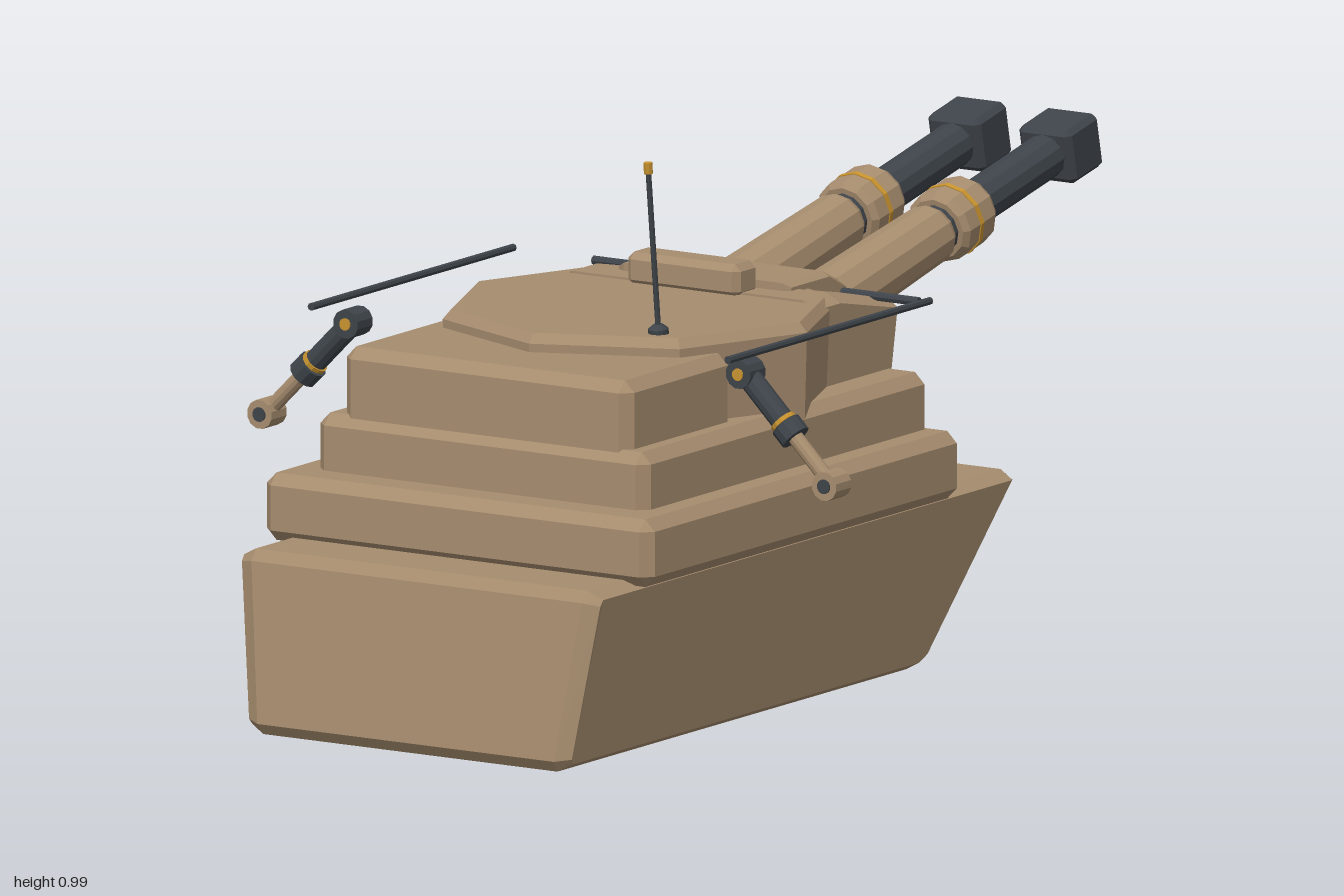
import * as THREE from 'three';
import { ConvexGeometry } from 'three/addons/geometries/ConvexGeometry.js';

const mat = (name, color) => {
  const m = new THREE.MeshStandardMaterial({ color });
  m.name = name;
  return m;
};

export function createModel() {
  const model = new THREE.Group();
  model.name = 'twinGunTank';
  const tan = mat('tan', 0xa68c6e);
  const dark = mat('gunmetal', 0x3e444a);
  const gold = mat('gold', 0xc8932f);

  const add = (parent, name, geo, material, x = 0, y = 0, z = 0) => {
    const m = new THREE.Mesh(geo, material);
    m.name = name;
    m.position.set(x, y, z);
    parent.add(m);
    return m;
  };
  const flat = (geo) => {
    const g = geo.index ? geo.toNonIndexed() : geo;
    g.computeVertexNormals();
    return g;
  };
  // Faceted turned part along y from [radius, height] pairs
  const turned = (pts, sides = 12) =>
    flat(new THREE.LatheGeometry(pts.map(([r, y]) => new THREE.Vector2(r, y)), sides));
  const rod = (r, y0, y1, sides = 12) => turned([[0, y0], [r, y0], [r, y1], [0, y1]], sides);
  // Box with all edges chamfered
  const chamferBox = (w, h, d, b) => {
    const pts = [];
    for (const sx of [-1, 1]) for (const sy of [-1, 1]) for (const sz of [-1, 1]) {
      const X = w / 2, Y = h / 2, Z = d / 2;
      pts.push(new THREE.Vector3(sx * X, sy * (Y - b), sz * (Z - b)));
      pts.push(new THREE.Vector3(sx * (X - b), sy * Y, sz * (Z - b)));
      pts.push(new THREE.Vector3(sx * (X - b), sy * (Y - b), sz * Z));
    }
    return new ConvexGeometry(pts);
  };
  // Side profile of [z, y] points extruded across x with a bevel
  const sideProfile = (pts, width, size, thick) => {
    const shape = new THREE.Shape(pts.map(([z, y]) => new THREE.Vector2(z, y)));
    const g = new THREE.ExtrudeGeometry(shape, {
      depth: width - 2 * thick, bevelEnabled: true, bevelSegments: 1,
      bevelSize: size, bevelOffset: -size, bevelThickness: thick,
    });
    g.translate(0, 0, -(width - 2 * thick) / 2);
    g.rotateY(-Math.PI / 2);
    return g;
  };

  // Lower hull, narrowing toward the floor
  const hull = sideProfile(
    [[-0.12, 0], [0.985, 0], [1, 0.02], [0.965, 0.3], [0.95, 0.32], [-0.36, 0.32], [-0.37, 0.305], [-0.15, 0.015]],
    0.75, 0.015, 0.03);
  const p = hull.attributes.position;
  for (let i = 0; i < p.count; i++) p.setX(i, p.getX(i) * (0.89 + 0.11 * Math.min(1, p.getY(i) / 0.3)));
  add(model, 'lowerHull', flat(hull), tan);

  // Stepped upper decks
  add(model, 'hullDeck', chamferBox(0.81, 0.12, 0.995, 0.02), tan, 0, 0.37, 0.347);
  add(model, 'upperDeck', chamferBox(0.69, 0.13, 0.905, 0.02), tan, 0, 0.465, 0.313);
  add(model, 'frontBlock', chamferBox(0.6, 0.15, 0.335, 0.02), tan, 0, 0.575, 0.583);

  // Turret
  const turret = new THREE.Group();
  turret.name = 'turret';
  model.add(turret);
  add(turret, 'turretBody',
    turned([[0, 0.5], [0.345, 0.5], [0.35, 0.665], [0.335, 0.682], [0, 0.682]], 8), tan, 0, 0, 0.26);
  add(turret, 'turretRear', flat(sideProfile(
    [[-0.13, 0.45], [0.11, 0.45], [0.11, 0.686], [0.03, 0.686], [-0.165, 0.645]], 0.54, 0.015, 0.03)), tan);
  add(turret, 'gunMantlet', flat(sideProfile(
    [[-0.13, 0.52], [0.06, 0.52], [0.06, 0.7], [-0.07, 0.7], [-0.13, 0.67]], 0.36, 0.008, 0.015)), tan);

  // Sight housing with lamps facing the guns
  add(turret, 'sightHousing', chamferBox(0.235, 0.06, 0.07, 0.012), tan, 0, 0.706, 0.094);
  add(turret, 'sightPanel', new THREE.BoxGeometry(0.17, 0.034, 0.006), dark, 0, 0.709, 0.058);
  for (const s of [-1, 1])
    add(turret, 'sightLamp', new THREE.BoxGeometry(0.062, 0.02, 0.006), gold, s * 0.042, 0.709, 0.055);

  // Twin guns
  for (const s of [-1, 1]) {
    const gun = new THREE.Group();
    gun.name = s > 0 ? 'leftGun' : 'rightGun';
    gun.position.set(s * 0.095, 0.612, -0.17);
    gun.rotation.x = -THREE.MathUtils.degToRad(78);
    turret.add(gun);
    add(gun, 'baseCollar', turned([[0, -0.07], [0.062, -0.07], [0.07, -0.055], [0.07, 0], [0.06, 0.015], [0, 0.015]]), tan);
    add(gun, 'sleeve', turned([[0, 0], [0.06, 0], [0.054, 0.35], [0.048, 0.362], [0, 0.362]]), tan);
    add(gun, 'neck', rod(0.045, 0.35, 0.39), dark);
    add(gun, 'barrelCollar',
      turned([[0, 0.375], [0.055, 0.375], [0.065, 0.385], [0.065, 0.465], [0.055, 0.48], [0, 0.48]]), tan);
    add(gun, 'goldBand', rod(0.067, 0.416, 0.426), gold);
    add(gun, 'barrel', rod(0.04, 0.47, 0.74), dark);
    add(gun, 'muzzleBlock', chamferBox(0.11, 0.1, 0.1, 0.01), dark, 0, 0.776, 0);
    add(gun, 'muzzleCap', turned([[0, 0.82], [0.032, 0.82], [0.032, 0.835], [0.026, 0.842], [0, 0.842]]), dark);
  }

  // Antenna
  const antenna = new THREE.Group();
  antenna.name = 'antenna';
  antenna.position.set(0.185, 0.685, 0.48);
  antenna.rotation.x = 0.11;
  turret.add(antenna);
  add(antenna, 'antennaBase', turned([[0, -0.005], [0.018, -0.005], [0.018, 0.006], [0.008, 0.014], [0, 0.014]]), dark);
  add(antenna, 'antennaWhip', rod(0.005, 0, 0.295, 8), dark);
  add(antenna, 'antennaTip', rod(0.008, 0.288, 0.308, 8), gold);

  // Rails
  for (const s of [-1, 1])
    add(model, 'sideRail', rod(0.007, -0.32, 0.32, 8), dark, s * 0.435, 0.688, 0.32).rotation.x = Math.PI / 2;
  add(model, 'rearRail', rod(0.008, -0.34, 0.34, 8), dark, 0, 0.658, -0.11).rotation.z = Math.PI / 2;

  // Side struts, running outward and down
  for (const s of [-1, 1]) {
    const strut = new THREE.Group();
    strut.name = s > 0 ? 'leftStrut' : 'rightStrut';
    strut.position.set(s * 0.41, 0.648, 0.545);
    strut.rotation.z = s * -Math.PI * 0.75;
    model.add(strut);
    const disc = (name, r, half, y, m) => {
      add(strut, name, rod(r, -half, half), m, 0, y, 0).rotation.x = Math.PI / 2;
    };
    disc('upperPivot', 0.026, 0.024, 0, dark);
    disc('upperPivotPin', 0.011, 0.027, 0, gold);
    add(strut, 'strutCylinder', rod(0.021, 0, 0.13), dark);
    add(strut, 'strutBand', rod(0.024, 0.108, 0.116), gold);
    add(strut, 'strutCollar', rod(0.028, 0.118, 0.148), dark);
    add(strut, 'strutRod', rod(0.014, 0.14, 0.25), tan);
    disc('lowerPivot', 0.026, 0.024, 0.254, tan);
    disc('lowerPivotPin', 0.013, 0.027, 0.254, dark);
  }
  return model;
}
